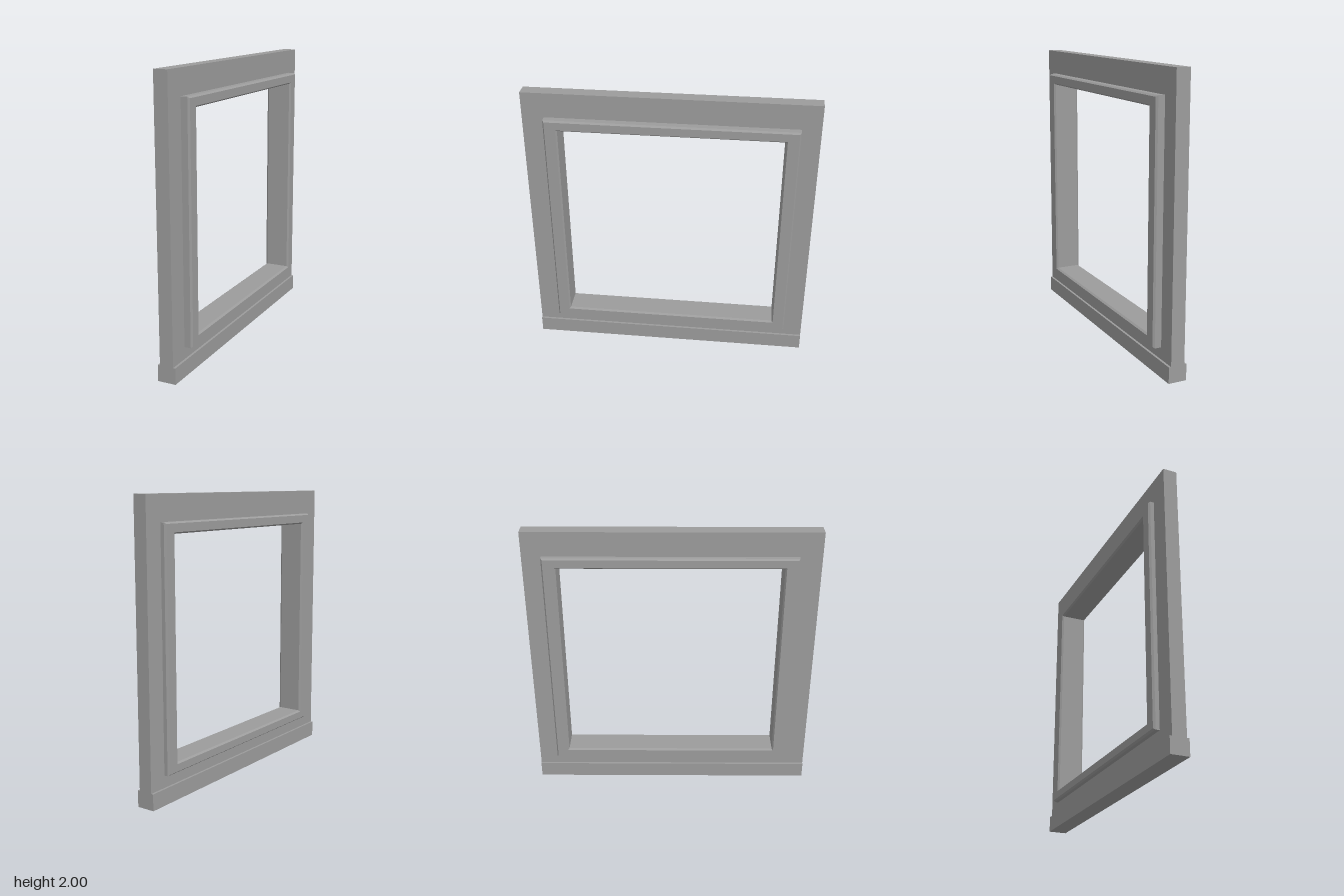
import * as THREE from 'three';

const material = new THREE.MeshStandardMaterial({ color: 0x9c9c9c, flatShading: true });

// Rectangle corners; the shape's x axis runs along the model's -z
function rectangle(z0, z1, y0, y1, Type = THREE.Shape) {
  return new Type([[-z1, y0], [-z0, y0], [-z0, y1], [-z1, y1]].map(([a, b]) => new THREE.Vector2(a, b)));
}

// Rectangular ring spanning x0..x1, with an optional chamfer on its edges
function ring(name, outer, inner, x0, x1, chamfer = { depth: 0, inset: 0 }) {
  const shape = rectangle(...outer);
  shape.holes.push(rectangle(...inner, THREE.Path));
  const geometry = new THREE.ExtrudeGeometry(shape, {
    depth: x1 - x0 - 2 * chamfer.depth,
    bevelEnabled: chamfer.depth > 0,
    bevelThickness: chamfer.depth,
    bevelSize: chamfer.inset,
    bevelOffset: -chamfer.inset,
    bevelSegments: 1,
  });
  geometry.rotateY(Math.PI / 2).translate(x0 + chamfer.depth, 0, 0);
  const mesh = new THREE.Mesh(geometry, material);
  mesh.name = name;
  return mesh;
}

export function createModel() {
  const group = new THREE.Group();
  group.name = 'windowWall';

  // Wall panel; its opening edge is buried inside the window frame
  group.add(ring('wall', [-1, 1, 0, 2], [-0.82, 0.8, 0.235, 1.79], -0.058, 0.039));

  // Chamfered window frame standing proud of both wall faces
  group.add(ring('windowFrame', [-0.868, 0.848, 0.197, 1.827], [-0.773, 0.753, 0.268, 1.752],
    -0.098, 0.098, { depth: 0.013, inset: 0.01 }));

  // Baseboard strips along both wall faces
  for (const [name, x0, x1] of [['rightBaseboard', -0.074, -0.058], ['leftBaseboard', 0.039, 0.055]]) {
    const strip = new THREE.Mesh(new THREE.BoxGeometry(x1 - x0, 0.113, 2), material);
    strip.position.set((x0 + x1) / 2, 0.0565, 0);
    strip.name = name;
    group.add(strip);
  }
  return group;
}
